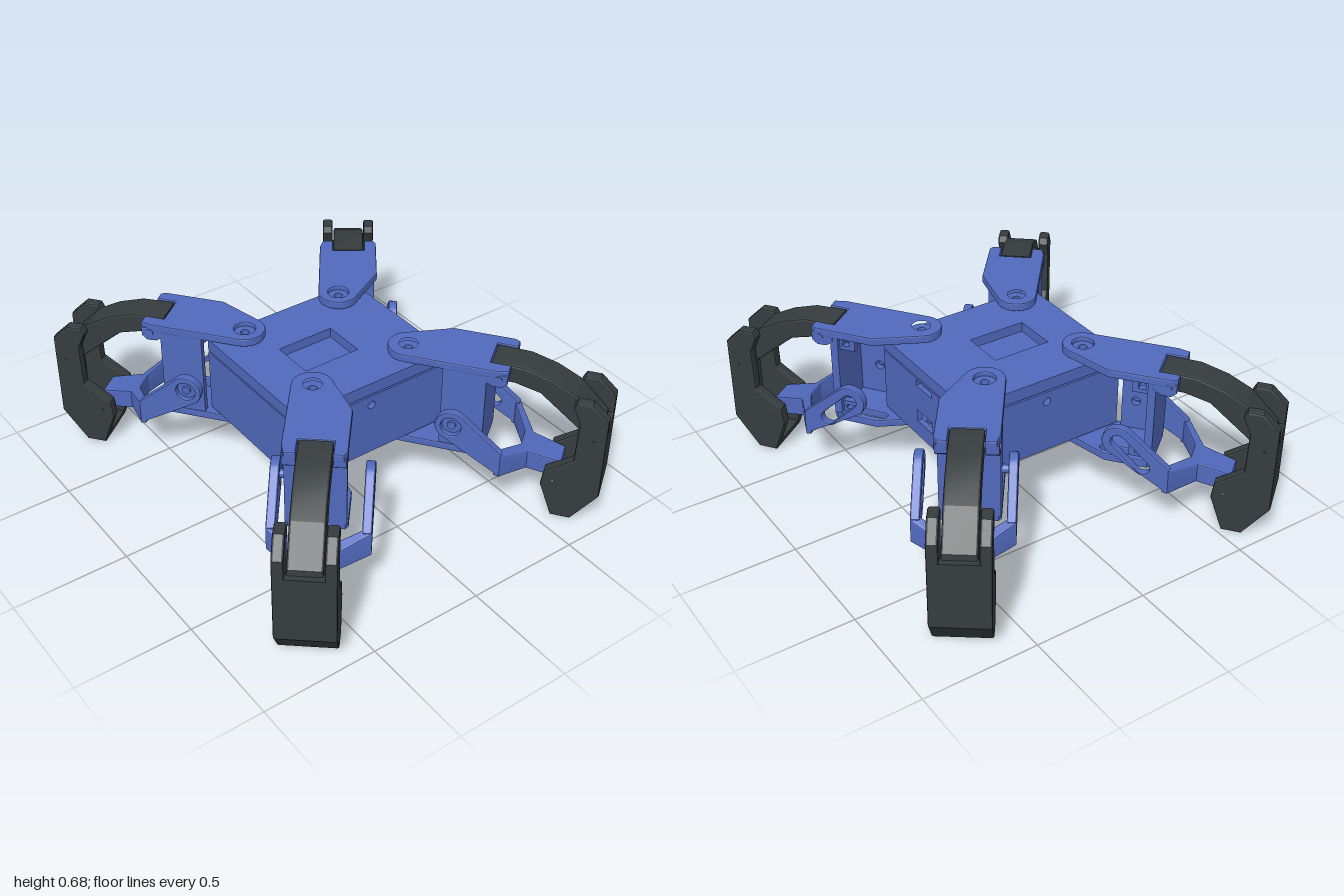
import * as THREE from 'three';
import { toCreasedNormals } from 'three/addons/utils/BufferGeometryUtils.js';

const blue = new THREE.MeshStandardMaterial({ color: 0x5069bd });
blue.name = 'blue plastic';
const black = new THREE.MeshStandardMaterial({ color: 0x363c3e });
black.name = 'black plastic';

const poly = (pts) => new THREE.Shape(pts.map(([a, b]) => new THREE.Vector2(a, b)));
const circle = (x, y, r) => new THREE.Path().absarc(x, y, r, 0, Math.PI * 2, true);
const rect = (x0, y0, x1, y1) =>
  new THREE.Path([[x0, y0], [x0, y1], [x1, y1], [x1, y0]].map(([a, b]) => new THREE.Vector2(a, b)));

// Rounded slot between two points
function slot(x0, y0, x1, y1, r) {
  const a = Math.atan2(y1 - y0, x1 - x0), h = Math.PI / 2, p = new THREE.Path();
  p.absarc(x1, y1, r, a - h, a + h, false);
  p.absarc(x0, y0, r, a + h, a + 3 * h, false);
  p.closePath();
  return p;
}

function extrude(shape, depth, bevel = 0) {
  return new THREE.ExtrudeGeometry(shape, {
    depth: depth - 2 * bevel, curveSegments: 14, bevelEnabled: bevel > 0,
    bevelSize: bevel, bevelOffset: -bevel, bevelThickness: bevel, bevelSegments: 2,
  }).translate(0, 0, bevel);
}

function add(group, name, geometry, material) {
  const mesh = new THREE.Mesh(toCreasedNormals(geometry, 0.3), material);
  mesh.name = name;
  group.add(mesh);
}

// Horizontal slab from an outline in (x, z)
const slab = (shape, y0, y1, bevel) =>
  extrude(shape, y1 - y0, bevel).rotateX(Math.PI / 2).translate(0, y1, 0);

const pivots = [[-0.24, -0.235], [0.242, -0.235], [-0.24, 0.243], [0.242, 0.243]];
const W = 0.322, D = 0.374;

function createBody() {
  const body = new THREE.Group();
  body.name = 'body';
  const outline = (w, d) => poly([[-w, -d], [w, -d], [w, d], [-w, d]]);

  // Floor with pivot holes and vent slots
  const floor = outline(W, D);
  pivots.forEach(([x, z]) => floor.holes.push(circle(x, z, 0.018)));
  for (const z of [-0.3, -0.25, 0.25, 0.3]) floor.holes.push(rect(-0.1, z - 0.012, 0.1, z + 0.012));
  add(body, 'floor', slab(floor, 0.297, 0.325), blue);

  // Lid with pivot holes and a sunken square pocket
  const lid = outline(W, D);
  pivots.forEach(([x, z]) => lid.holes.push(circle(x, z, 0.018)));
  lid.holes.push(rect(-0.09, -0.085, 0.1, 0.175));
  add(body, 'lid', slab(lid, 0.588, 0.643), blue);
  add(body, 'lidPocket', new THREE.BoxGeometry(0.22, 0.02, 0.29).translate(0.005, 0.59, 0.045), blue);
  const seam = outline(W - 0.015, D - 0.015);
  seam.holes.push(rect(-W + 0.03, -D + 0.03, W - 0.03, D - 0.03));
  add(body, 'lidSeam', slab(seam, 0.575, 0.59), blue);

  // Front and back walls, the back one with port windows
  const wall = (w) => poly([[-w, 0.325], [w, 0.325], [w, 0.58], [-w, 0.58]]);
  add(body, 'frontWall', extrude(wall(W), 0.025).translate(0, 0, D - 0.025), blue);
  const back = wall(W);
  back.holes.push(rect(-0.06, 0.545, 0.06, 0.57), rect(-0.06, 0.37, 0.06, 0.425));
  add(body, 'backWall', extrude(back, 0.025).translate(0, 0, -D), blue);
  // Side walls with a cable hole
  for (const sx of [-1, 1]) {
    const side = wall(D - 0.025);
    side.holes.push(circle(-0.01, 0.535, 0.018));
    add(body, 'sideWall', extrude(side, 0.025).rotateY(Math.PI / 2)
      .translate(sx > 0 ? W - 0.025 : -W, 0, 0), blue);
  }
  return body;
}

// One leg: x runs outward, s mirrors the sideways axis v
function createLeg(s) {
  const leg = new THREE.Group();
  const flat = (pts) => poly(pts.map(([u, v]) => [u, s * v]));
  const upright = (shape, v0, v1, bevel) =>
    extrude(shape, v1 - v0, bevel).translate(0, 0, Math.min(s * v0, s * v1));
  const pin = (name, u, y, v0, v1, r) => add(leg, name,
    new THREE.CylinderGeometry(r, r, v1 - v0, 28).rotateX(Math.PI / 2)
      .translate(u, y, s * (v0 + v1) / 2), blue);
  const block = (name, u0, u1, y0, y1, v0, v1) => add(leg, name,
    new THREE.BoxGeometry(u1 - u0, y1 - y0, v1 - v0)
      .translate((u0 + u1) / 2, (y0 + y1) / 2, s * (v0 + v1) / 2), blue);
  const hub = Array.from({ length: 17 }, (_, i) => {
    const a = 2.35 + 2.35 * i / 16;
    return [0.085 * Math.cos(a), 0.085 * Math.sin(a)];
  });
  hub.unshift(...[1.9, 2.1].map((a) => [0.085 * Math.cos(a), 0.085 * Math.sin(a)]));

  // Shoulder bracket: top and bottom plates
  const top = flat([...hub, [0.38, -0.083], [0.43, -0.07], [0.43, -0.025], [0.345, -0.025],
    [0.345, 0.115], [0.43, 0.115], [0.43, 0.155], [0.41, 0.168], [0.15, 0.168]]);
  top.holes.push(circle(0, 0, 0.045));
  add(leg, 'shoulderTopPlate', slab(top, 0.655, 0.692, 0.006), blue);
  const ring = new THREE.Shape().absarc(0, 0, 0.05, 0, Math.PI * 2);
  ring.holes.push(circle(0, 0, 0.018));
  add(leg, 'pivotWasher', slab(ring, 0.643, 0.672), blue);
  const bottom = flat([...hub, [0.33, -0.083], [0.345, -0.07], [0.345, 0.155], [0.33, 0.168], [0.15, 0.168]]);
  bottom.holes.push(circle(0, 0, 0.018), slot(0.14, s * 0.12, 0.3, s * 0.12, 0.02));
  add(leg, 'shoulderBottomPlate', slab(bottom, 0.25, 0.285, 0.006), blue);
  add(leg, 'pivotBoss', slab(ring, 0.28, 0.3), blue);

  // Open servo bay: outer wall, one side wall and two screw tabs
  block('servoOuterWall', 0.312, 0.345, 0.275, 0.665, -0.08, 0.162);
  const sideWall = poly([[0.165, 0.275], [0.32, 0.275], [0.32, 0.665], [0.165, 0.665]]);
  sideWall.holes.push(circle(0.225, 0.42, 0.02));
  add(leg, 'servoSideWall', upright(sideWall, -0.08, -0.05), blue);
  for (const [y0, y1] of [[0.28, 0.335], [0.592, 0.66]]) {
    const tab = poly([[0.245, y0], [0.32, y0], [0.32, y1], [0.245, y1]]);
    tab.holes.push(rect(0.27, y0 + 0.018, 0.3, y1 - 0.018));
    add(leg, 'servoTab', upright(tab, 0.11, 0.14), blue);
  }

  // Hinge lugs that carry the upper arm
  const lug = poly([[0.33, 0.67], [0.335, 0.63], [0.365, 0.612], [0.405, 0.61], [0.428, 0.63], [0.43, 0.67]]);
  for (const [v0, v1] of [[-0.08, -0.025], [0.115, 0.165]]) {
    add(leg, 'hingeLug', upright(lug, v0, v1, 0.005), blue);
  }
  pin('hingePin', 0.392, 0.65, -0.084, 0.169, 0.016);

  // Upper arm: arched link down to the foot
  add(leg, 'upperArm', upright(poly([[0.35, 0.69], [0.49, 0.685], [0.6, 0.652], [0.7, 0.6], [0.82, 0.475],
    [0.825, 0.42], [0.78, 0.39], [0.66, 0.49], [0.555, 0.578], [0.45, 0.605], [0.35, 0.608]]),
  -0.022, 0.112, 0.008), black);

  // Lower fork: a round-hub arm and a slotted arm
  const armShape = () => {
    const p = new THREE.Shape();
    p.moveTo(0.44, 0.213);
    p.lineTo(0.44, 0.325);
    p.absarc(0.225, 0.42, 0.068, 0.75, 4.1, false);
    p.closePath();
    return p;
  };
  const hubArm = armShape(), slotArm = armShape();
  hubArm.holes.push(circle(0.225, 0.42, 0.042));
  slotArm.holes.push(slot(0.225, 0.42, 0.33, 0.318, 0.03));
  add(leg, 'hubArm', upright(hubArm, -0.144, -0.106, 0.006), blue);
  add(leg, 'slottedArm', upright(slotArm, 0.226, 0.264, 0.006), blue);
  pin('servoHorn', 0.225, 0.42, -0.122, -0.108, 0.043);
  pin('hornScrew', 0.225, 0.42, -0.134, -0.08, 0.018);

  // Fork yoke, tapering and sloping down to the foot
  const yoke = slab(flat([[0.415, 0.264], [0.438, 0.264], [0.53, 0.115], [0.67, 0.1], [0.67, -0.01],
    [0.53, -0.025], [0.438, -0.144], [0.415, -0.144], [0.415, -0.106], [0.425, -0.106], [0.495, 0],
    [0.495, 0.09], [0.425, 0.226], [0.415, 0.226]]), 0, 0.088, 0.006);
  const p = yoke.attributes.position;
  for (let i = 0; i < p.count; i++) {
    const u = p.getX(i), grow = 1 + 3 * Math.max(0, 0.53 - u);
    p.setY(i, p.getY(i) * grow + 0.215 - 0.22 * (u - 0.415));
  }
  add(leg, 'forkYoke', yoke, blue);

  // Foot: two cheeks joined by an outer web and sole
  for (const [v0, v1] of [[-0.074, -0.028], [0.118, 0.164]]) {
    const cheek = poly([[0.712, 0.603], [0.775, 0.603], [0.845, 0.535], [0.845, 0.15], [0.74, 0.008],
      [0.655, 0.008], [0.6, 0.16], [0.61, 0.235], [0.725, 0.315], [0.73, 0.5], [0.698, 0.575]]);
    cheek.holes.push(circle(0.795, 0.43, 0.012), circle(0.65, 0.19, 0.012));
    add(leg, 'footCheek', upright(cheek, v0, v1, 0.008), black);
  }
  add(leg, 'footWeb', upright(poly([[0.845, 0.45], [0.845, 0.15], [0.74, 0.008], [0.655, 0.008], [0.645, 0.04],
    [0.72, 0.05], [0.805, 0.165], [0.805, 0.45]]), -0.045, 0.135), black);
  return leg;
}

export function createModel() {
  const model = new THREE.Group();
  model.name = 'fourLeggedRobot';
  model.add(createBody());
  // Splay angle of each leg in degrees, in the order of the pivots
  const legs = [['backRightLeg', 36.3], ['backLeftLeg', 36.3], ['frontRightLeg', 38.3], ['frontLeftLeg', 40.5]];
  legs.forEach(([name, angle], i) => {
    const [x, z] = pivots[i], a = angle * Math.PI / 180;
    const leg = createLeg(-Math.sign(x));
    leg.name = name;
    leg.position.set(x, 0, z);
    leg.rotation.y = Math.atan2(-Math.sign(z) * Math.sin(a), Math.sign(x) * Math.cos(a));
    model.add(leg);
  });
  return model;
}
